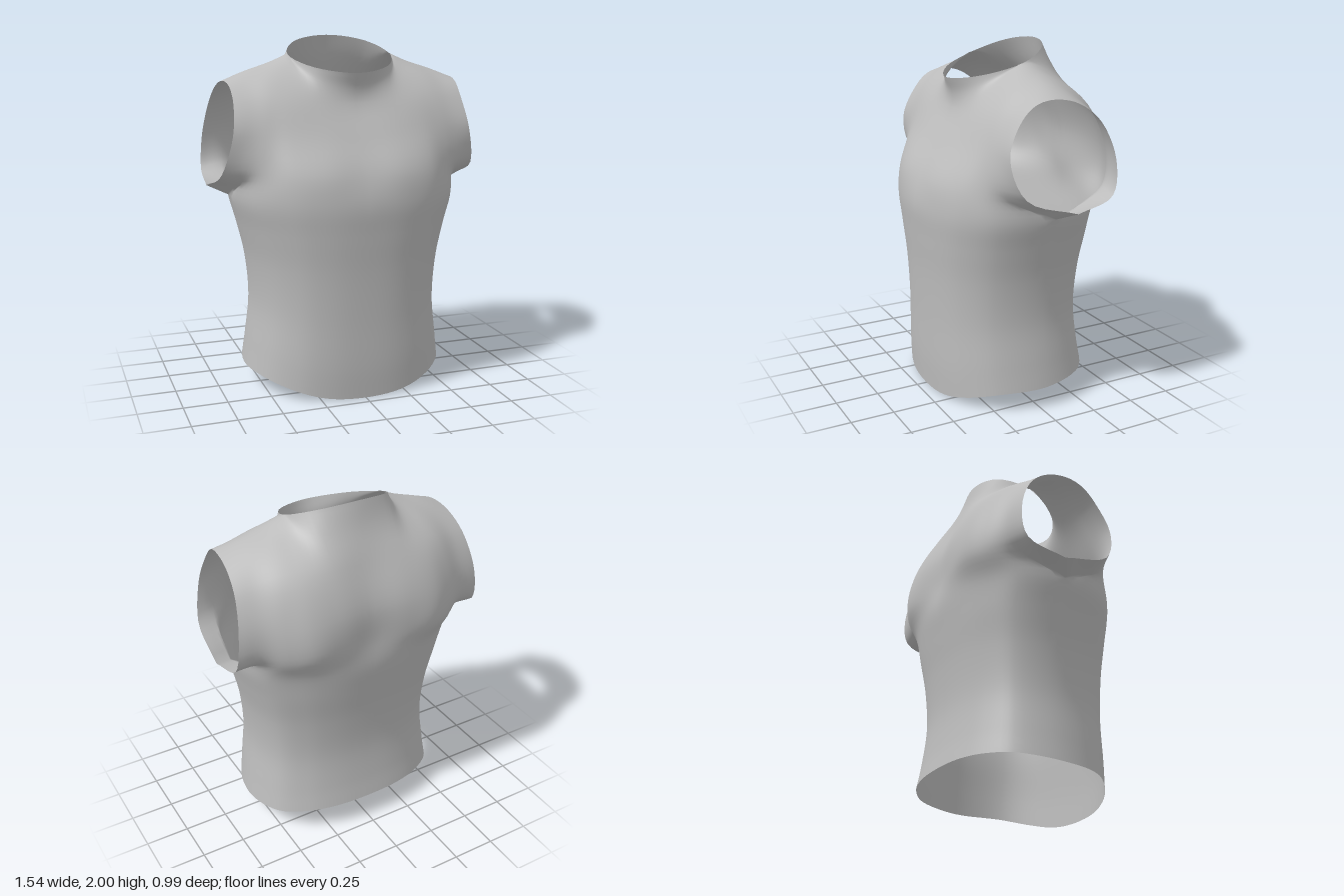
import * as THREE from 'three';
import { mergeVertices } from 'three/addons/utils/BufferGeometryUtils.js';

const M = 5;                              // subdivisions between control points
const NECK = 2, SIDE = 4, EDGE = 5;       // control columns: neck corner, torso side, armhole edge
const UNDERARM = 5;                       // control row where the sleeves begin
const V = (a) => new THREE.Vector3(...a);
const flip = (p) => new THREE.Vector3(-p.x, p.y, p.z);

// Smooth curve through points, M steps per span
function spline(pts) {
  const curve = new THREE.CatmullRomCurve3(pts), n = (pts.length - 1) * M;
  return Array.from({ length: n + 1 }, (_, i) => curve.getPoint(i / n));
}

// Open row from the centre line out to the armhole, symmetric about x = 0
function openRow(raw) {
  const pts = raw.map(V);
  const all = spline([...pts.slice(1).reverse().map(flip), ...pts]);
  return all.slice((pts.length - 1) * M);
}

// Closed ring given as front and back quarters; returns both quarters
function ringRows(front, back) {
  const k = front.length - 1;
  const half = [...front, ...back.slice(0, k).reverse()];
  const loop = [...half, ...half.slice(1, -1).reverse().map(flip)];
  const curve = new THREE.CatmullRomCurve3(loop, true), n = 4 * k * M;
  const at = (i) => curve.getPoint(i / n);
  const f = [], b = [];
  for (let j = 0; j <= k * M; j++) {
    f.push(at(j));
    b.push(at(2 * k * M - j));
  }
  return [f, b];
}

// Torso rings: side height, half width, front depth, back depth, hem dip
const torso = [
  [0.12, 0.59, 0.44, 0.45, 1],
  [0.27, 0.57, 0.45, 0.425, 0.75],
  [0.5, 0.546, 0.453, 0.404, 0.4],
  [0.75, 0.565, 0.463, 0.42, 0.2],
  [0.95, 0.61, 0.48, 0.45, 0.1],
  [1.12, 0.655, 0.49, 0.474, 0],
];
function torsoRing([y, w, zf, zb, dip]) {
  const quarter = (depth, lift, power) => [0, 17, 36, 60, 90].map((deg) => {
    const a = THREE.MathUtils.degToRad(deg), c = Math.max(0, Math.cos(a)), s = Math.sin(a);
    return new THREE.Vector3(w * s ** 0.82, y + dip * lift * c ** power,
      depth * c ** 0.82 - 0.03 * s ** 4);
  });
  return ringRows(quarter(zf, -0.12, 3), quarter(-zb, 0.048, 1));
}

// Chest rows from underarm to collar
const chest = [
  [[0, 1.28, 0.45], [0.21, 1.28, 0.452], [0.4, 1.28, 0.4], [0.53, 1.28, 0.315], [0.625, 1.27, 0.245], [0.74, 1.27, 0.19]],
  [[0, 1.46, 0.35], [0.2, 1.47, 0.345], [0.38, 1.48, 0.32], [0.5, 1.48, 0.29], [0.59, 1.48, 0.27], [0.69, 1.48, 0.26]],
  [[0, 1.64, 0.255], [0.19, 1.65, 0.25], [0.35, 1.67, 0.23], [0.47, 1.67, 0.215], [0.57, 1.66, 0.2], [0.668, 1.65, 0.19]],
  [[0, 1.72, 0.25], [0.2, 1.755, 0.205], [0.32, 1.81, 0.11], [0.45, 1.79, 0.105], [0.57, 1.755, 0.105], [0.67, 1.735, 0.105]],
];
// Back rows from underarm to collar
const back = [
  [[0, 1.27, -0.465], [0.2, 1.27, -0.485], [0.37, 1.27, -0.485], [0.51, 1.26, -0.425], [0.63, 1.26, -0.34], [0.757, 1.24, -0.32]],
  [[0, 1.47, -0.455], [0.2, 1.47, -0.475], [0.38, 1.46, -0.468], [0.51, 1.45, -0.42], [0.62, 1.44, -0.37], [0.74, 1.43, -0.345]],
  [[0, 1.7, -0.37], [0.2, 1.7, -0.38], [0.36, 1.69, -0.365], [0.48, 1.68, -0.33], [0.6, 1.65, -0.285], [0.71, 1.63, -0.265]],
  [[0, 1.87, -0.3], [0.21, 1.86, -0.27], [0.33, 1.84, -0.18], [0.44, 1.815, -0.16], [0.57, 1.775, -0.145], [0.692, 1.73, -0.14]],
];

function shirtGeometry() {
  const front = [], rear = [];
  for (const r of torso) {
    const [f, b] = torsoRing(r);
    front.push(f);
    rear.push(b);
  }
  // Sleeve underside, shared by the front and back
  const under = spline([front[UNDERARM][SIDE * M], V([0.77, 1.17, -0.1])]).slice(1);
  front[UNDERARM].push(...under);
  rear[UNDERARM].push(...under);
  chest.forEach((r) => front.push(openRow(r)));
  back.forEach((r) => rear.push(openRow(r)));
  // Neck opening and shoulder line
  const corner = [0.305, 1.9, -0.03];
  const neck = ringRows([[0, 1.805, 0.28], [0.215, 1.835, 0.18], corner].map(V),
    [[0, 2, -0.262], [0.21, 1.97, -0.2], corner].map(V));
  const shoulder = spline([corner, [0.41, 1.855, -0.03], [0.55, 1.81, -0.02], [0.68, 1.76, 0]].map(V)).slice(1);
  front.push([...neck[0], ...shoulder]);
  rear.push([...neck[1], ...shoulder]);

  // Columns run up the front and, outside the neck, over the shoulder down the back
  const columns = [];
  const top = (front.length - 1) * M, cut = UNDERARM * M;
  for (let j = 0; j <= EDGE * M; j++) {
    const skip = j >= SIDE * M ? UNDERARM : 0;
    const f = front.slice(skip).map((r) => r[j]), b = rear.slice(skip).map((r) => r[j]);
    let F, B;
    if (j < NECK * M) {
      F = spline(f);
      B = spline(b);
    } else {
      const all = spline([...f, ...b.slice(0, -1).reverse()]), mid = (f.length - 1) * M;
      F = all.slice(0, mid + 1);
      B = all.slice(mid).reverse();
    }
    if (skip) {
      const low = j === SIDE * M ? spline(front.slice(0, UNDERARM + 1).map((r) => r[j])).slice(0, -1)
        : new Array(cut).fill(null);
      F = [...low, ...F];
      B = [...low, ...B];
    }
    columns.push([F, B]);
  }

  // Quads for both faces and both sides
  const pos = [];
  for (const side of [0, 1]) for (const sx of [1, -1]) {
    const reverse = (side === 1) !== (sx === -1);
    const tri = (...p) => (reverse ? p.reverse() : p).forEach((q) => pos.push(sx * q.x, q.y, q.z));
    for (let j = 0; j < EDGE * M; j++) {
      const A = columns[j][side], C = columns[j + 1][side];
      for (let l = j >= SIDE * M ? cut : 0; l < top; l++) {
        tri(A[l], C[l], C[l + 1]);
        tri(A[l], C[l + 1], A[l + 1]);
      }
    }
  }
  const geo = new THREE.BufferGeometry();
  geo.setAttribute('position', new THREE.Float32BufferAttribute(pos, 3));
  const welded = mergeVertices(geo, 1e-4);
  welded.computeVertexNormals();
  return welded;
}

export function createModel() {
  const group = new THREE.Group();
  group.name = 'sleevelessShirt';
  const fabric = new THREE.MeshStandardMaterial({ color: 0xbcbcbc, side: THREE.DoubleSide });
  fabric.name = 'grey fabric';
  const shirt = new THREE.Mesh(shirtGeometry(), fabric);
  shirt.name = 'shirtBody';
  group.add(shirt);
  return group;
}
